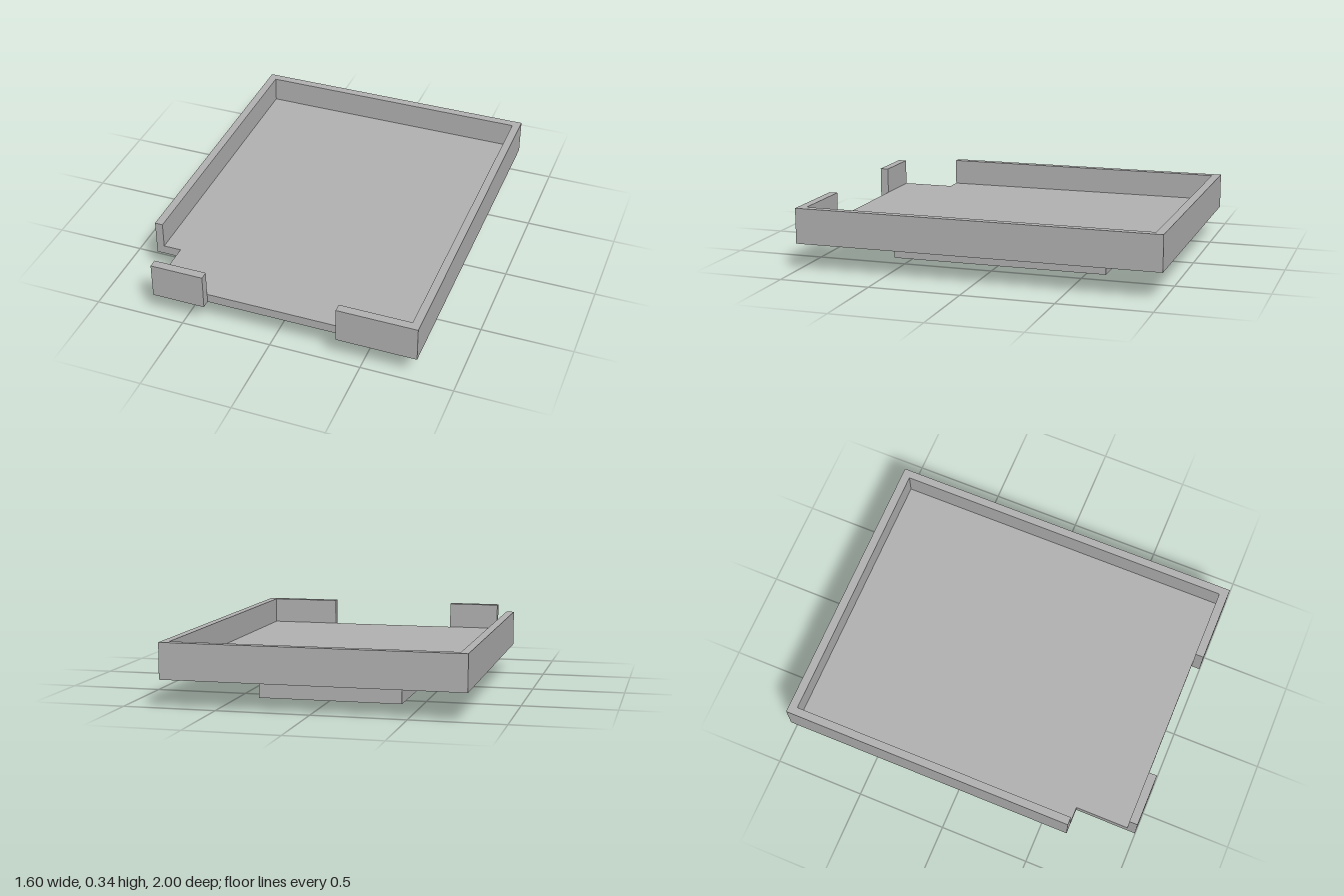
import * as THREE from 'three';

const grey = new THREE.MeshStandardMaterial({ color: 0xb2b2b2 });
grey.name = 'plain grey';

// Upright prism from a plan outline of [x, z] points, between two heights
function slab(name, outline, bottom, top) {
  const shape = new THREE.Shape(outline.map(([x, z]) => new THREE.Vector2(x, -z)));
  const geometry = new THREE.ExtrudeGeometry(shape, { depth: top - bottom, bevelEnabled: false });
  geometry.rotateX(-Math.PI / 2).translate(0, bottom, 0);
  const mesh = new THREE.Mesh(geometry, grey);
  mesh.name = name;
  return mesh;
}

export function createModel() {
  const model = new THREE.Group();
  model.name = 'tray';

  const X = 0.802, Z = 1;              // outer half sizes
  const ix = 0.758, iz = 0.953;        // inner half sizes
  const base = 0.148, floorTop = 0.198, rim = 0.342;
  const notchX = -0.66, notchZ = 0.657; // missing front right corner
  const gap = 0.367;                   // half width of the front opening

  // Floor with the corner notch
  model.add(slab('floor', [
    [-ix, -iz], [ix, -iz], [ix, iz], [notchX, iz], [notchX, notchZ], [-ix, notchZ],
  ], base, floorTop));

  // Continuous wall around the right, back and left, returning along the front
  model.add(slab('wall', [
    [-X, notchZ], [-X, -Z], [X, -Z], [X, Z], [gap, Z], [gap, iz],
    [ix, iz], [ix, -iz], [-ix, -iz], [-ix, notchZ],
  ], base, rim));

  // Separate short piece of front wall
  model.add(slab('frontWall', [
    [notchX, iz], [-gap, iz], [-gap, Z], [notchX, Z],
  ], base, rim));

  // Block beneath the floor
  const foot = new THREE.Mesh(new THREE.BoxGeometry(0.78, base, 1.21), grey);
  foot.position.y = base / 2;
  foot.name = 'foot';
  model.add(foot);

  return model;
}
